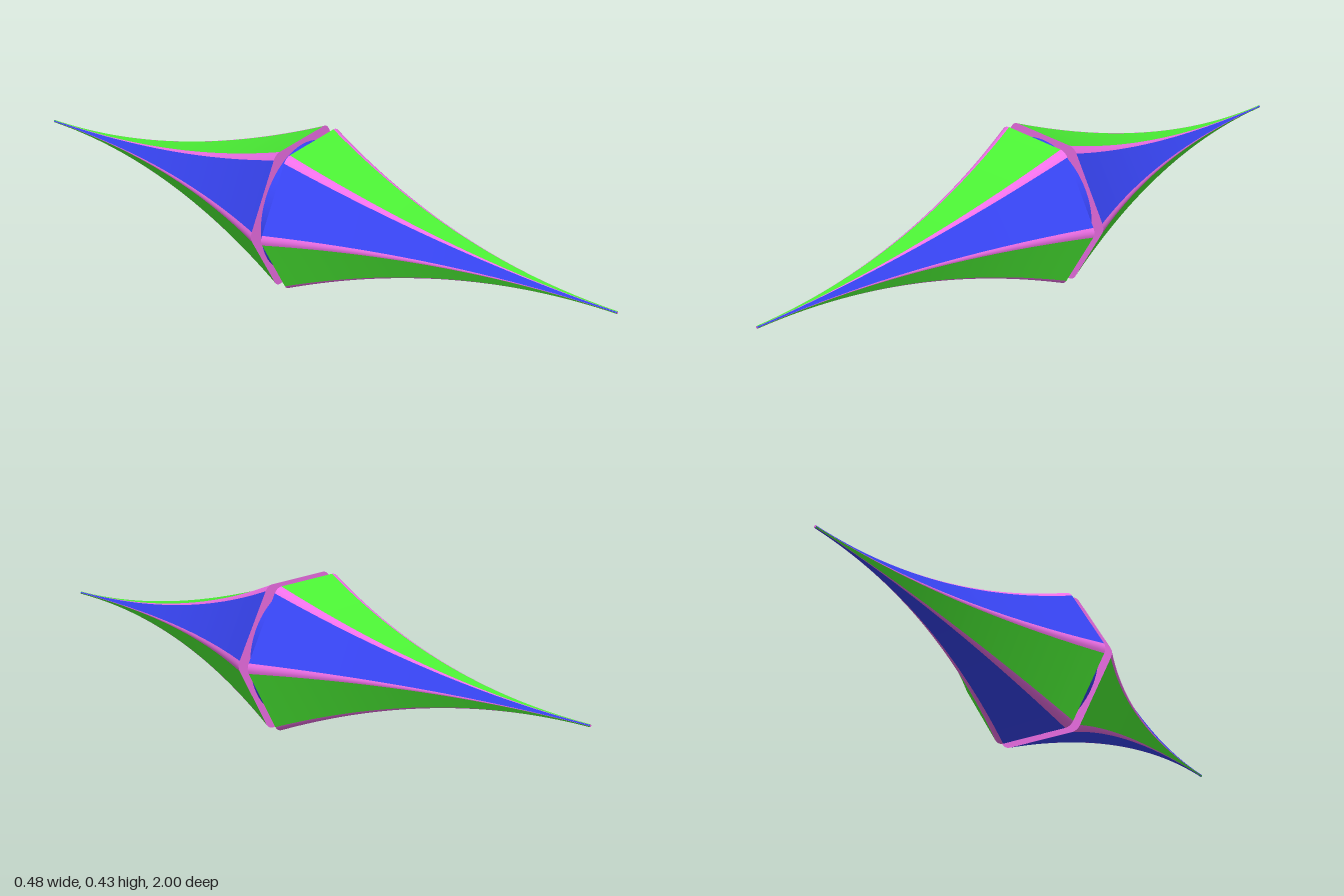
import * as THREE from 'three';

const APOTHEM = 0.2135, FILLET = 0.031, BASE_Z = 0.018, TIP_Z = 1, TIP_SCALE = 0.016, ROWS = 40;

const mat = (color) => new THREE.MeshStandardMaterial({ color });
const GREEN = mat(0x4df436), BLUE = mat(0x3845f5), PINK = mat(0xf070e8);

function addMesh(parent, name, geometry, material) {
  const mesh = new THREE.Mesh(geometry, material);
  mesh.name = name;
  parent.add(mesh);
  return mesh;
}

// rounded corner between face k and face k + 1 of the hexagon
function cornerPoints(k, steps = 4) {
  const mid = Math.PI / 2 + (k + 0.5) * Math.PI / 3;
  const d = (APOTHEM - FILLET) / Math.cos(Math.PI / 6);
  const pts = [];
  for (let i = 0; i <= steps; i++) {
    const a = mid + (i / steps - 0.5) * Math.PI / 3;
    pts.push(new THREE.Vector2(
      d * Math.cos(mid) + FILLET * Math.cos(a),
      d * Math.sin(mid) + FILLET * Math.sin(a)));
  }
  return pts;
}

// sweep a piece of the outline from base to tip, shrinking along a concave curve
function sweep(pts) {
  const pos = [], index = [], n = pts.length;
  for (let i = 0; i <= ROWS; i++) {
    const t = i / ROWS;
    const s = TIP_SCALE + (1 - TIP_SCALE) * (1 - t) ** 2;
    for (const p of pts) pos.push(p.x * s, p.y * s, BASE_Z + (TIP_Z - BASE_Z) * t);
  }
  for (let i = 0; i < ROWS; i++) {
    for (let j = 0; j < n - 1; j++) {
      const a = i * n + j, b = a + 1, c = b + n, d = a + n;
      index.push(a, b, c, a, c, d);
    }
  }
  const geo = new THREE.BufferGeometry();
  geo.setAttribute('position', new THREE.Float32BufferAttribute(pos, 3));
  geo.setIndex(index);
  geo.computeVertexNormals();
  return geo;
}

function makeSpike(name) {
  const spike = new THREE.Group();
  spike.name = name;
  const corners = [0, 1, 2, 3, 4, 5].map((k) => cornerPoints(k));

  corners.forEach((corner, k) => {
    // flat side panel, then the rounded edge after it
    const previous = corners[(k + 5) % 6];
    addMesh(spike, 'sidePanel' + k, sweep([previous[previous.length - 1], corner[0]]), k % 2 ? BLUE : GREEN);
    addMesh(spike, 'roundedEdge' + k, sweep(corner), PINK);
  });

  // end faces
  const outline = new THREE.Shape(corners.flat());
  const base = new THREE.ShapeGeometry(outline).rotateY(Math.PI).translate(0, 0, BASE_Z);
  addMesh(spike, 'baseCap', base, PINK);
  const tip = new THREE.ShapeGeometry(outline).scale(TIP_SCALE, TIP_SCALE, 1).translate(0, 0, TIP_Z);
  addMesh(spike, 'tipCap', tip, PINK);
  return spike;
}

export function createModel() {
  const model = new THREE.Group();
  model.name = 'doubleSpike';

  const front = makeSpike('frontSpike');
  const back = makeSpike('backSpike');
  back.rotation.y = Math.PI;

  // round disc joining the two spikes
  const disc = new THREE.CylinderGeometry(0.196, 0.196, BASE_Z * 2, 64).rotateX(Math.PI / 2);
  addMesh(model, 'joiningDisc', disc, BLUE);

  model.add(front, back);
  model.position.y = APOTHEM;
  const root = new THREE.Group();
  root.add(model);
  return root;
}
